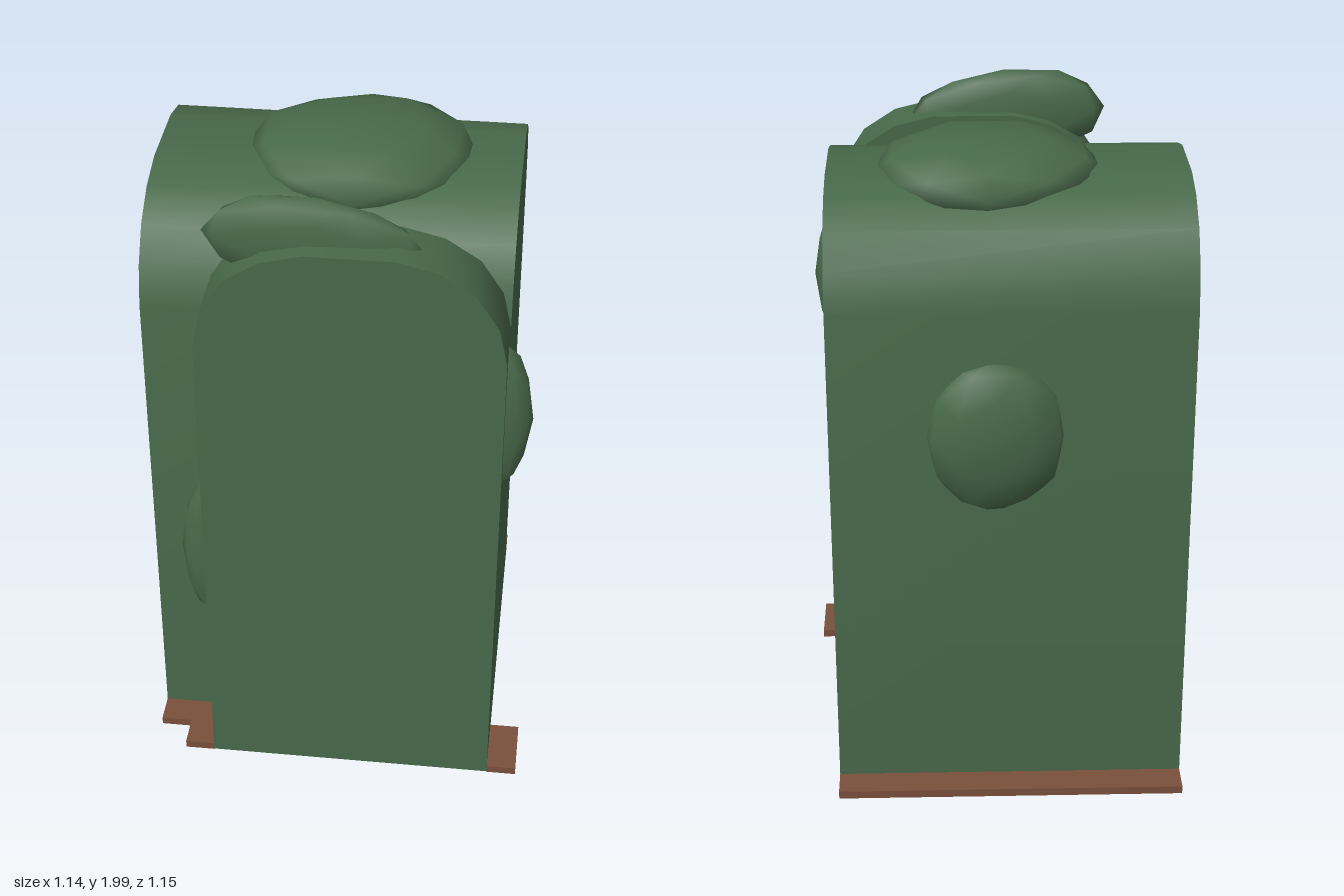
import * as THREE from 'three';
import { mergeVertices, toCreasedNormals } from 'three/addons/utils/BufferGeometryUtils.js';

const leaf = new THREE.MeshStandardMaterial({ color: 0x48694a });
leaf.name = 'leaf green';
const soil = new THREE.MeshStandardMaterial({ color: 0x7a503c });
soil.name = 'soil brown';

// Arched wall section, width across the arch and extruded by depth
function archGeometry(width, depth) {
  const h = width / 2;
  const half = [[h, 0.002], [h, 1.56], [h - 0.025, 1.675], [h - 0.09, 1.775], [h - 0.19, 1.84], [h - 0.31, 1.87]];
  const points = [...half, ...half.slice().reverse().map(([x, y]) => [-x, y])];
  const shape = new THREE.Shape(points.map(([x, y]) => new THREE.Vector2(x, y)));
  const g = new THREE.ExtrudeGeometry(shape, { depth, bevelEnabled: false });
  g.translate(0, 0, -depth / 2);
  return toCreasedNormals(g, 0.75);
}

// Rounded clump of leaves with a slightly uneven surface
function clumpGeometry(seed) {
  let g = new THREE.IcosahedronGeometry(1, 1);
  g.deleteAttribute('normal');
  g.deleteAttribute('uv');
  g = mergeVertices(g, 1e-3);
  const p = g.attributes.position;
  for (let i = 0; i < p.count; i++) {
    const s = 1 + 0.035 * Math.sin(i * 2.7 + seed);
    p.setXYZ(i, p.getX(i) * s, p.getY(i) * s, p.getZ(i) * s);
  }
  g.computeVertexNormals();
  return g;
}

export function createModel() {
  const model = new THREE.Group();
  model.name = 'hedge';

  const add = (name, geometry, material, x, y, z) => {
    const mesh = new THREE.Mesh(geometry, material);
    mesh.name = name;
    mesh.position.set(x, y, z);
    model.add(mesh);
    return mesh;
  };

  // Thick hedge arched front to back, thin hedge arched side to side
  const main = add('mainHedge', archGeometry(0.87, 1.055), leaf, -0.0475, 0, -0.045);
  main.rotation.y = Math.PI / 2;
  add('frontHedge', archGeometry(0.87, 0.185), leaf, 0.045, 0, 0.4825);

  // Leaf clumps: name, centre, radii, tilt
  const clumps = [
    ['mainTopClump', [0.015, 1.845, -0.055], [0.345, 0.12, 0.3], 0],
    ['backClump', [0, 1.18, -0.465], [0.21, 0.245, 0.085], 0],
    ['frontTopClump', [-0.065, 1.85, 0.475], [0.315, 0.145, 0.05], -0.08],
    ['leftClump', [0.465, 1.32, 0.48], [0.09, 0.245, 0.046], 0],
    ['rightClump', [-0.385, 0.77, 0.48], [0.085, 0.26, 0.046], 0],
  ];
  clumps.forEach(([name, c, r, tilt], i) => {
    const clump = add(name, clumpGeometry(i * 1.3), leaf, ...c);
    clump.scale.set(...r);
    clump.rotation.z = tilt;
  });

  // Soil beds, leaving narrow strips of the hedge undersides open
  const beds = [
    ['mainBed', -0.572, 0.477, -0.455, 0.365],
    ['backBed', -0.575, 0.48, -0.575, -0.48],
    ['frontBed', -0.365, 0.455, 0.415, 0.55],
    ['rightFrontBed', -0.48, -0.39, 0.39, 0.575],
    ['rightCornerBed', -0.575, -0.48, 0.39, 0.48],
    ['leftFrontBed', 0.48, 0.57, 0.39, 0.575],
  ];
  for (const [name, x0, x1, z0, z1] of beds) {
    add(name, new THREE.BoxGeometry(x1 - x0, 0.025, z1 - z0), soil, (x0 + x1) / 2, 0.0125, (z0 + z1) / 2);
  }
  return model;
}
